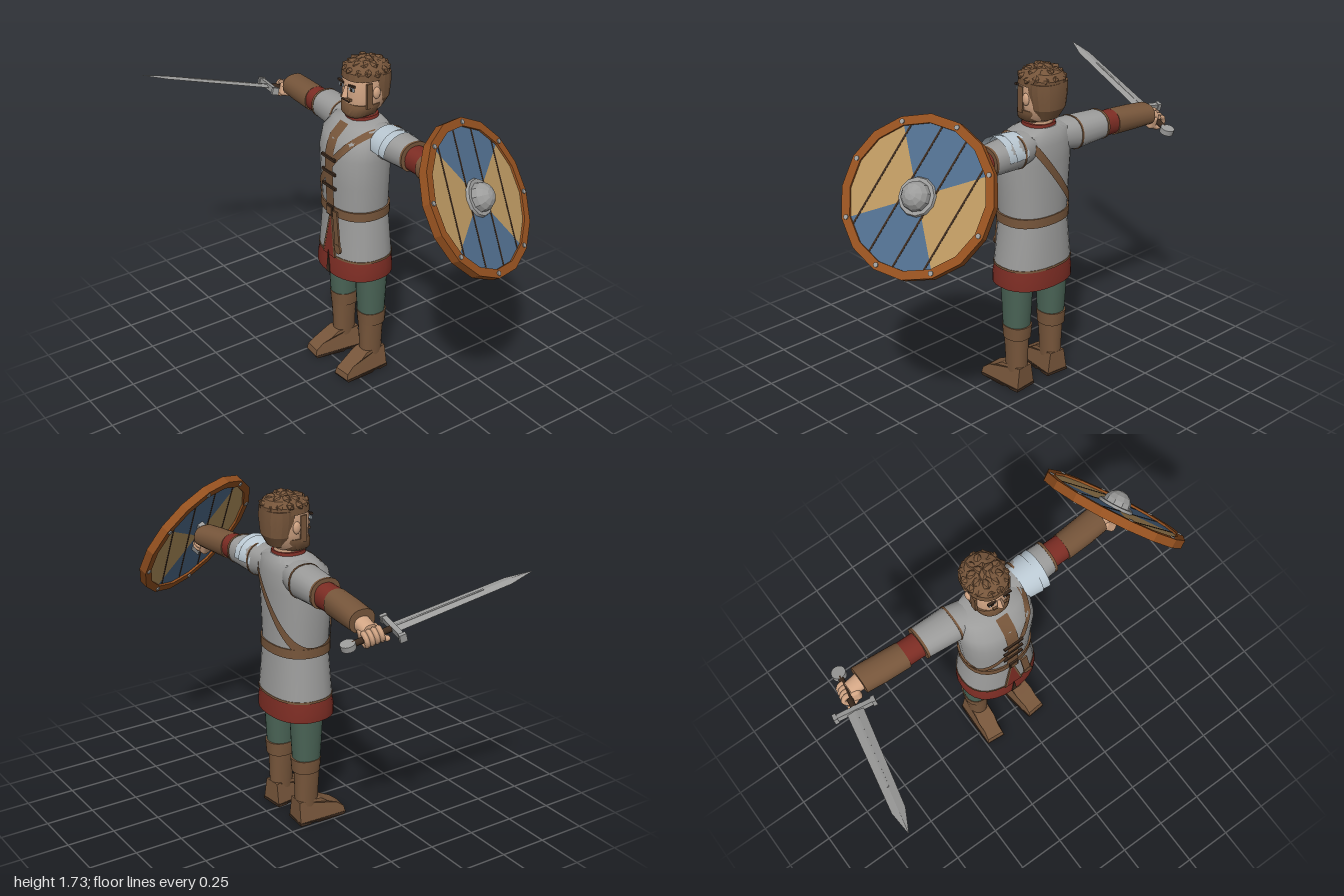
import * as THREE from 'three';
import { toCreasedNormals } from 'three/addons/utils/BufferGeometryUtils.js';
import { RoundedBoxGeometry } from 'three/addons/geometries/RoundedBoxGeometry.js';

const CX = -0.053; // body axis
const mat = (name, color) => Object.assign(new THREE.MeshStandardMaterial({ color, side: THREE.DoubleSide }), { name });
const M = {
  cloth: mat('greyClothAndIron', 0x9c9c9b), steel: mat('paleSteel', 0xbccad4), red: mat('redWool', 0x7d2d24),
  green: mat('greenWool', 0x4a6456), leather: mat('brownLeatherAndHair', 0x77563b), dark: mat('darkBrown', 0x3b2a1e),
  skin: mat('skin', 0xd2a584), tan: mat('tanBoard', 0xb8955f), blue: mat('blueBoard', 0x4f6c8b), rim: mat('orangeRim', 0x94501f),
};

function add(parent, name, geo, material, x = 0, y = 0, z = 0) {
  const m = new THREE.Mesh(geo, material);
  m.name = name;
  m.position.set(x, y, z);
  parent.add(m);
  return m;
}
const box = (w, h, d) => new THREE.BoxGeometry(w, h, d);
const cyl = (a, b, h, n = 12) => new THREE.CylinderGeometry(a, b, h, n);
const bend = (v, p) => Math.sign(v) * Math.abs(v) ** (2 / p);

// Closed skin over rings [s, a, b, u, v]: position along the axis, two radii, centre
function loft(rings, { n = 20, p = 2.3, axis = 'y', crease = 0.7 } = {}) {
  const pos = [], idx = [], last = rings.length - 1;
  const put = (s, u, v) => (axis === 'y' ? pos.push(u, s, v) : pos.push(s, u, v));
  for (const [s, a, b, u, v] of rings)
    for (let i = 0; i < n; i++) {
      const t = (i / n) * Math.PI * 2;
      put(s, u + a * bend(Math.cos(t), p), v + b * bend(Math.sin(t), p));
    }
  for (const k of [0, last]) put(rings[k][0], rings[k][3], rings[k][4]);
  const flip = (axis === 'x') !== (rings[last][0] < rings[0][0]);
  const tri = (a, b, c) => (flip ? idx.push(a, c, b) : idx.push(a, b, c));
  const c0 = n * rings.length;
  for (let i = 0; i < n; i++) {
    const j = (i + 1) % n;
    for (let k = 0; k < last; k++) {
      const a = k * n + i, b = k * n + j;
      tri(a, a + n, b);
      tri(b, a + n, b + n);
    }
    tri(c0, i, j);
    tri(c0 + 1, last * n + j, last * n + i);
  }
  const g = new THREE.BufferGeometry();
  g.setAttribute('position', new THREE.Float32BufferAttribute(pos, 3));
  g.setIndex(idx);
  return toCreasedNormals(g, crease);
}

// Strip between two rows of points
function ribbon(a, b) {
  const idx = [];
  for (let i = 0; i < a.length - 1; i++) idx.push(i, i + 1, a.length + i, i + 1, a.length + i + 1, a.length + i);
  const g = new THREE.BufferGeometry().setFromPoints([...a, ...b]);
  g.setIndex(idx);
  g.computeVertexNormals();
  return g;
}

const TORSO = [[0.93, 0.176, 0.147, CX, -0.103], [1.1, 0.188, 0.152, CX, -0.1], [1.25, 0.198, 0.156, CX, -0.1],
  [1.34, 0.195, 0.145, CX, -0.112], [1.395, 0.165, 0.11, CX, -0.135], [1.42, 0.09, 0.08, CX, -0.145]];
function torsoAt(y) {
  const i = Math.max(1, TORSO.findIndex((r) => r[0] >= y)), [a, b] = [TORSO[i - 1], TORSO[i]];
  return a.map((v, k) => THREE.MathUtils.lerp(v, b[k], (y - a[0]) / (b[0] - a[0])));
}
const torsoFront = (y) => { const r = torsoAt(y); return r[4] + r[2]; };

// Point of the slanted shoulder strap on the torso surface
function strapPoint(t, height) {
  const c = bend(Math.cos(t), 2.3);
  let lo = 0.93, hi = 1.42;
  for (let i = 0; i < 25; i++) {
    const y = (lo + hi) / 2;
    if (height + 1.35 * torsoAt(y)[1] * c > y) lo = y; else hi = y;
  }
  const r = torsoAt(lo);
  return new THREE.Vector3(CX + (r[1] + 0.007) * c, lo, r[4] + (r[2] + 0.007) * bend(Math.sin(t), 2.3));
}

function buildBody(g) {
  add(g, 'tunic', loft(TORSO, { n: 28 }), M.cloth);
  add(g, 'tunicSkirt', loft([[0.69, 0.206, 0.16, CX, -0.103], [0.93, 0.18, 0.147, CX, -0.103]], { n: 28 }), M.cloth);
  add(g, 'skirtHem', loft([[0.687, 0.209, 0.163, CX, -0.103], [0.698, 0.208, 0.162, CX, -0.103]], { n: 28 }), M.leather);
  add(g, 'underSkirt', loft([[0.585, 0.212, 0.167, CX, -0.101], [0.63, 0.212, 0.166, CX, -0.101], [0.69, 0.202, 0.157, CX, -0.103]], { n: 28 }), M.red);
  add(g, 'belt', loft([[0.922, 0.189, 0.155, CX, -0.102], [0.97, 0.189, 0.155, CX, -0.102]], { n: 28 }), M.leather);
  add(g, 'collar', loft([[1.39, 0.088, 0.085, CX, -0.14], [1.435, 0.078, 0.078, CX, -0.14]]), M.red);
  add(g, 'collarTrim', loft([[1.385, 0.098, 0.094, CX, -0.138], [1.412, 0.09, 0.087, CX, -0.14]]), M.leather);
  add(g, 'neck', cyl(0.062, 0.066, 0.12, 16), M.skin, CX, 1.43, -0.15);
  // Front opening of the skirt with its trims
  const gore = new THREE.Shape([[0, 0.235], [-0.046, 0], [0.046, 0]].map((q) => new THREE.Vector2(...q)));
  add(g, 'skirtGore', new THREE.ExtrudeGeometry(gore, { depth: 0.008, bevelEnabled: false }), M.red, CX, 0.687, 0.055).rotation.x = -0.054;
  for (const s of [-1, 1]) {
    const t = add(g, 'goreTrim', box(0.01, 0.235, 0.009), M.leather, CX + s * 0.026, 0.805, 0.053);
    t.rotation.set(-0.054, 0, s * 0.19);
  }
  const slit = new THREE.Shape([[0, 0.13], [-0.016, 0], [0.016, 0]].map((q) => new THREE.Vector2(...q)));
  add(g, 'underSkirtSlit', new THREE.ExtrudeGeometry(slit, { depth: 0.004, bevelEnabled: false }), M.dark, CX, 0.586, 0.064);
  // Belt buckle and hanging tail
  add(g, 'buckle', box(0.05, 0.056, 0.012), M.dark, CX + 0.005, 0.946, 0.054);
  add(g, 'buckleFace', box(0.034, 0.038, 0.014), M.leather, CX + 0.005, 0.946, 0.056);
  add(g, 'beltTail', box(0.038, 0.21, 0.009), M.leather, 0.018, 0.858, 0.064).rotation.z = 0.12;
  add(g, 'beltTailEnd', cyl(0.026, 0.026, 0.011, 12).rotateX(Math.PI / 2), M.leather, 0.032, 0.758, 0.065);
  // Placket, toggles and strap
  const ys = Array.from({ length: 9 }, (_, i) => 0.96 + i * 0.0555);
  const edge = (x) => ys.map((y) => new THREE.Vector3(CX + x, y, torsoFront(y) + 0.005));
  add(g, 'placket', ribbon(edge(-0.033), edge(0.033)), M.leather);
  for (const y of [1.08, 1.16, 1.24]) add(g, 'toggle', box(0.11, 0.014, 0.012), M.dark, CX, y, torsoFront(y) + 0.006);
  const ts = Array.from({ length: 61 }, (_, i) => (i / 60) * Math.PI * 2);
  add(g, 'shoulderStrap', ribbon(ts.map((t) => strapPoint(t, 1.155)), ts.map((t) => strapPoint(t, 1.215))), M.leather);
}

function buildLeg(g, s) {
  const x = CX + s * 0.12;
  add(g, 'trouserLeg', loft([[0.3, 0.064, 0.066, x, -0.117], [0.45, 0.069, 0.076, x, -0.117], [0.64, 0.076, 0.085, x, -0.117]]), M.green);
  add(g, 'bootCuff', loft([[0.288, 0.066, 0.07, x, -0.12], [0.36, 0.07, 0.076, x, -0.12]]), M.leather);
  add(g, 'bootShaft', loft([[0.08, 0.047, 0.059, x, -0.117], [0.2, 0.052, 0.062, x, -0.116], [0.3, 0.058, 0.066, x, -0.115]]), M.leather);
  // Foot from its side outline, narrower at the top and the toe
  const foot = (name, pts, w, m) => {
    const geo = new THREE.ExtrudeGeometry(new THREE.Shape(pts.map((q) => new THREE.Vector2(...q))), { depth: w, bevelEnabled: false });
    geo.translate(0, 0, -w / 2).rotateY(-Math.PI / 2);
    const p = geo.attributes.position;
    for (let i = 0; i < p.count; i++) p.setX(i, p.getX(i) * (1 - 2.4 * p.getY(i)) * (p.getZ(i) > 0.15 ? 0.8 : 1));
    geo.computeVertexNormals();
    add(g, name, geo, m, x, 0, -0.117).rotation.y = s * 0.09;
  };
  foot('bootFoot', [[-0.062, 0.012], [-0.06, 0.125], [0.062, 0.125], [0.1, 0.1], [0.155, 0.075], [0.195, 0.045], [0.203, 0.012]], 0.128, M.leather);
  foot('bootSole', [[-0.064, 0], [-0.064, 0.014], [0.206, 0.014], [0.196, 0], [0.04, 0], [0.025, 0.006], [0, 0.006], [-0.008, 0]], 0.132, M.dark);
}

function buildArm(g, s) {
  const part = (name, m, rings) => add(g, name, loft(rings.map(([d, ...r]) => [CX + s * d, ...r]), { axis: 'x' }), m);
  part('sleeve', M.cloth, [[0.1, 0.075, 0.085, 1.335, -0.155], [0.19, 0.084, 0.088, 1.331, -0.17], [0.375, 0.073, 0.08, 1.33, -0.178]]);
  part('sleeveTrim', M.leather, [[0.366, 0.0755, 0.083, 1.33, -0.178], [0.379, 0.0755, 0.083, 1.33, -0.178]]);
  part('armholeTrim', M.leather, [[0.186, 0.0865, 0.091, 1.331, -0.17], [0.196, 0.0865, 0.091, 1.331, -0.17]]);
  part('underSleeve', M.red, [[0.36, 0.064, 0.062, 1.322, -0.179], [0.48, 0.062, 0.062, 1.32, -0.181]]);
  part('bracer', M.leather, [[0.465, 0.066, 0.067, 1.317, -0.18], [0.6, 0.062, 0.07, 1.313, -0.19], [0.702, 0.056, 0.07, 1.31, -0.2]]);
  part('wrist', M.skin, [[0.69, 0.036, 0.044, 1.3, -0.2], [0.765, 0.033, 0.038, 1.28, -0.2]]);
}

// Fist closed round a bar on local y, palm on local +x
function fist() {
  const h = new THREE.Group();
  h.name = 'hand';
  add(h, 'palm', new RoundedBoxGeometry(0.05, 0.1, 0.07, 2, 0.018), M.skin, 0.036, 0, 0);
  for (let i = 0; i < 4; i++) {
    const f = new THREE.TorusGeometry(0.031, 0.0135, 6, 10, 4.8).rotateX(Math.PI / 2);
    add(h, 'finger', f, M.skin, 0, -0.037 + i * 0.0245, 0);
  }
  const thumb = add(h, 'thumb', new THREE.CapsuleGeometry(0.014, 0.05, 3, 8), M.skin, 0.005, 0.05, 0.03);
  thumb.rotation.z = 1;
  return h;
}

function orient(group, yDir, hint, at) {
  const y = new THREE.Vector3(...yDir).normalize(), z = new THREE.Vector3(...hint).cross(y).normalize();
  group.quaternion.setFromRotationMatrix(new THREE.Matrix4().makeBasis(y.clone().cross(z), y, z));
  group.position.set(...at);
}

function buildSword() {
  const g = new THREE.Group();
  g.name = 'sword';
  add(g, 'blade', loft([[0, 0.042, 0.009, 0, 0], [0.58, 0.034, 0.007, 0, 0], [0.705, 0.002, 0.001, 0, 0]], { n: 4, p: 2, crease: 0.05 }), M.cloth);
  add(g, 'fuller', box(0.01, 0.45, 0.019), M.cloth, 0, 0.23, 0);
  add(g, 'crossGuard', box(0.2, 0.024, 0.03), M.cloth);
  for (const s of [-1, 1]) add(g, 'guardEnd', box(0.02, 0.034, 0.038), M.cloth, s * 0.098, 0, 0);
  add(g, 'grip', cyl(0.015, 0.015, 0.2), M.dark, 0, -0.1, 0);
  add(g, 'pommel', cyl(0.036, 0.036, 0.028, 14).rotateX(Math.PI / 2), M.cloth, 0, -0.222, 0);
  const h = fist();
  h.position.y = -0.105;
  g.add(h);
  orient(g, [-0.206, 0.251, 0.946], [0.977, 0.093, 0.186], [-0.85, 1.288, -0.1]);
  return g;
}

function buildShield() {
  const g = new THREE.Group();
  g.name = 'shield';
  const arc = (r, a, n) => Array.from({ length: n + 1 }, (_, i) => new THREE.Vector2(r * Math.cos(a + (i * Math.PI) / 8), r * Math.sin(a + (i * Math.PI) / 8)));
  const slab = (shape, d) => new THREE.ExtrudeGeometry(shape, { depth: d, bevelEnabled: false }).translate(0, 0, -d / 2);
  for (let q = 0; q < 4; q++)
    add(g, 'boardQuarter', slab(new THREE.Shape([new THREE.Vector2(), ...arc(0.35, (q + 0.5) * Math.PI / 2, 4)]), 0.022), q % 2 ? M.tan : M.blue);
  for (const x of [-0.21, -0.07, 0.07, 0.21])
    add(g, 'plankGap', box(0.009, 2 * Math.sqrt(0.335 ** 2 - x * x), 0.025), M.dark, x, 0, 0);
  const ring = new THREE.Shape(arc(0.38, 0, 15));
  ring.holes.push(new THREE.Path(arc(0.338, 0, 15).reverse()));
  add(g, 'rim', slab(ring, 0.045), M.rim);
  for (let i = 0; i < 8; i++) {
    const a = (i * Math.PI) / 4;
    add(g, 'rivet', cyl(0.012, 0.012, 0.056, 8).rotateX(Math.PI / 2), M.cloth, 0.357 * Math.cos(a), 0.357 * Math.sin(a), 0);
  }
  add(g, 'bossFlange', cyl(0.088, 0.094, 0.016, 12).rotateX(Math.PI / 2), M.cloth, 0, 0, 0.017);
  const dome = new THREE.SphereGeometry(0.072, 10, 4, 0, Math.PI * 2, 0, Math.PI / 2).rotateX(Math.PI / 2);
  add(g, 'boss', toCreasedNormals(dome, 0.1), M.cloth, 0, 0, 0.022);
  add(g, 'handle', cyl(0.013, 0.013, 0.2), M.dark, 0, 0, -0.05);
  for (const s of [-1, 1]) add(g, 'handleMount', box(0.035, 0.03, 0.05), M.cloth, 0, s * 0.095, -0.034);
  const h = fist();
  h.position.z = -0.05;
  h.rotation.y = Math.PI / 2;
  g.add(h);
  orient(g, [-0.58, 0.81, -0.13], [-0.215, -0.275, -0.938], [0.754, 1.286, -0.204]);
  return g;
}

function buildHead(g) {
  add(g, 'head', loft([[1.44, 0.06, 0.07, CX, -0.13], [1.47, 0.085, 0.095, CX, -0.145], [1.53, 0.095, 0.11, CX, -0.155],
    [1.61, 0.098, 0.112, CX, -0.157], [1.67, 0.09, 0.1, CX, -0.16]], { n: 24 }), M.skin);
  add(g, 'beard', loft([[1.432, 0.06, 0.06, CX, -0.11], [1.45, 0.085, 0.085, CX, -0.122], [1.49, 0.098, 0.092, CX, -0.132], [1.505, 0.098, 0.09, CX, -0.137]], { n: 24 }), M.leather);
  add(g, 'moustache', box(0.075, 0.012, 0.016), M.leather, CX, 1.53, -0.046);
  add(g, 'mouth', box(0.05, 0.007, 0.01), M.dark, CX, 1.517, -0.046);
  const nose = cyl(0.01, 0.021, 0.06, 4);
  add(g, 'nose', toCreasedNormals(nose, 0.3), M.skin, CX, 1.567, -0.042).rotation.x = -0.2;
  for (const s of [-1, 1]) {
    add(g, 'eye', box(0.034, 0.015, 0.008), M.steel, CX + s * 0.042, 1.587, -0.048);
    add(g, 'pupil', box(0.014, 0.015, 0.008), M.dark, CX + s * 0.042, 1.587, -0.046);
    add(g, 'eyebrow', box(0.046, 0.01, 0.012), M.dark, CX + s * 0.043, 1.606, -0.047).rotation.z = s * 0.1;
    add(g, 'ear', new THREE.SphereGeometry(0.026, 10, 8).scale(0.5, 1.2, 0.8), M.skin, CX + s * 0.1, 1.565, -0.155);
    add(g, 'sideburn', box(0.012, 0.13, 0.034), M.leather, CX + s * 0.095, 1.555, -0.115);
  }
  // Hair: cap, back and rows of flat-faced tufts
  add(g, 'hairCap', loft([[1.628, 0.104, 0.118, CX, -0.16], [1.665, 0.102, 0.118, CX, -0.162], [1.695, 0.08, 0.095, CX, -0.165], [1.71, 0.04, 0.05, CX, -0.165]], { n: 18, crease: 0.3 }), M.leather);
  add(g, 'hairBack', loft([[1.465, 0.06, 0.045, CX, -0.2], [1.52, 0.09, 0.07, CX, -0.205], [1.6, 0.102, 0.082, CX, -0.2], [1.65, 0.103, 0.08, CX, -0.2]], { n: 18, crease: 0.3 }), M.leather);
  let seed = 7;
  const rnd = () => ((seed = (seed * 16807) % 2147483647) / 2147483647) - 0.5;
  for (const [n, r, y] of [[13, 0.086, 1.665], [9, 0.058, 1.693], [5, 0.022, 1.704]])
    for (let i = 0; i < n; i++) {
      const a = (i / n) * Math.PI * 2;
      const t = add(g, 'hairTuft', new THREE.IcosahedronGeometry(0.03, 0).scale(0.75, 0.7, 1.1), M.leather,
        CX + r * Math.cos(a), y + rnd() * 0.012, -0.162 + r * 1.1 * Math.sin(a));
      t.rotation.set(rnd(), -a + Math.PI / 2 + rnd(), rnd());
    }
}

export function createModel() {
  const model = new THREE.Group();
  model.name = 'shieldWarrior';
  buildBody(model);
  buildHead(model);
  for (const s of [-1, 1]) {
    buildLeg(model, s);
    buildArm(model, s);
  }
  // Shoulder plates, overlapping bands over the left sleeve
  [0.087, 0.098, 0.102, 0.1].forEach((r, i) => {
    const band = new THREE.CylinderGeometry(r + 0.002, r - (i ? 0.003 : 0.025), 0.05, 18, 1, true, Math.PI * 0.98, Math.PI * 1.04);
    add(model, 'shoulderPlate', band.rotateZ(-Math.PI / 2).scale(1, 0.98, 1.04), M.steel, 0.1 + i * 0.041, 1.326, -0.158);
  });
  model.add(buildSword(), buildShield());
  return model;
}
